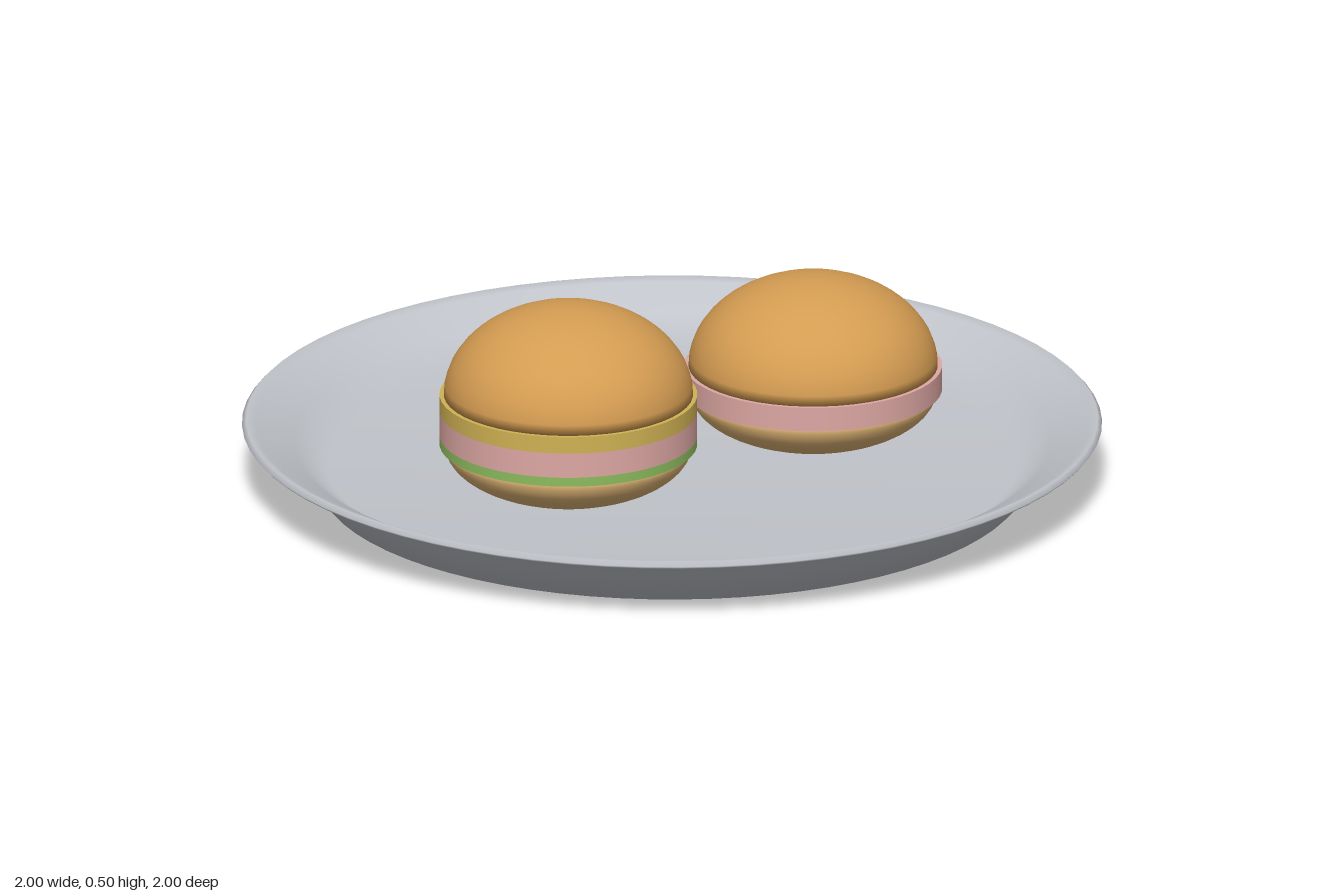
import * as THREE from 'three';

const material = (name, color) => {
  const m = new THREE.MeshStandardMaterial({ color });
  m.name = name;
  return m;
};

export function createModel() {
  const plateGrey = material('plate grey', 0xc0c3c9);
  const bunBrown = material('bun brown', 0xd49c52);
  const bunCream = material('bun cream', 0xdcb273);
  const hamPink = material('ham pink', 0xdea8a4);
  const cheeseYellow = material('cheese yellow', 0xd0b254);
  const lettuceGreen = material('lettuce green', 0x8cbc5e);

  const lathe = (name, points, mat, segments = 48) => {
    const geometry = new THREE.LatheGeometry(points.map(([r, y]) => new THREE.Vector2(r, y)), segments);
    const mesh = new THREE.Mesh(geometry, mat);
    mesh.name = name;
    return mesh;
  };

  // Quarter ellipse from the rim to the pole; negative height curves down
  const arc = (radius, height, base, steps = 14) =>
    Array.from({ length: steps + 1 }, (_, i) => {
      const t = (i / steps) * Math.PI / 2;
      return [i === steps ? 0 : radius * Math.cos(t), base + height * Math.sin(t)];
    });

  // One sandwich: lower bun, stacked fillings, domed upper bun
  const sandwich = (name, x, z, layers) => {
    const group = new THREE.Group();
    group.name = name;
    group.position.set(x, 0, z);
    let y = 0.168;
    group.add(lathe('lowerBun', [...arc(0.288, -0.126, y).reverse(), [0, y]], bunCream));
    for (const [layerName, height, mat] of layers) {
      const layer = new THREE.Mesh(new THREE.CylinderGeometry(0.3, 0.3, height, 48), mat);
      layer.name = layerName;
      layer.position.y = y + height / 2;
      group.add(layer);
      y += height;
    }
    group.add(lathe('upperBun', [[0, y], ...arc(0.29, 0.214, y)], bunBrown));
    return group;
  };

  const model = new THREE.Group();
  model.name = 'sandwichPlate';

  // Shallow plate with a flared rim
  model.add(lathe('plate', [
    [0, 0], [0.82, 0], [0.9, 0.09], [0.995, 0.138], [1, 0.144], [0.99, 0.155],
    [0.97, 0.147], [0.88, 0.1], [0.8, 0.04], [0, 0.04],
  ], plateGrey, 72));

  model.add(sandwich('tallSandwich', -0.32, 0, [
    ['lettuce', 0.022, lettuceGreen],
    ['ham', 0.06, hamPink],
    ['cheese', 0.04, cheeseYellow],
  ]));
  model.add(sandwich('smallSandwich', 0.36, 0.087, [['ham', 0.058, hamPink]]));
  return model;
}
